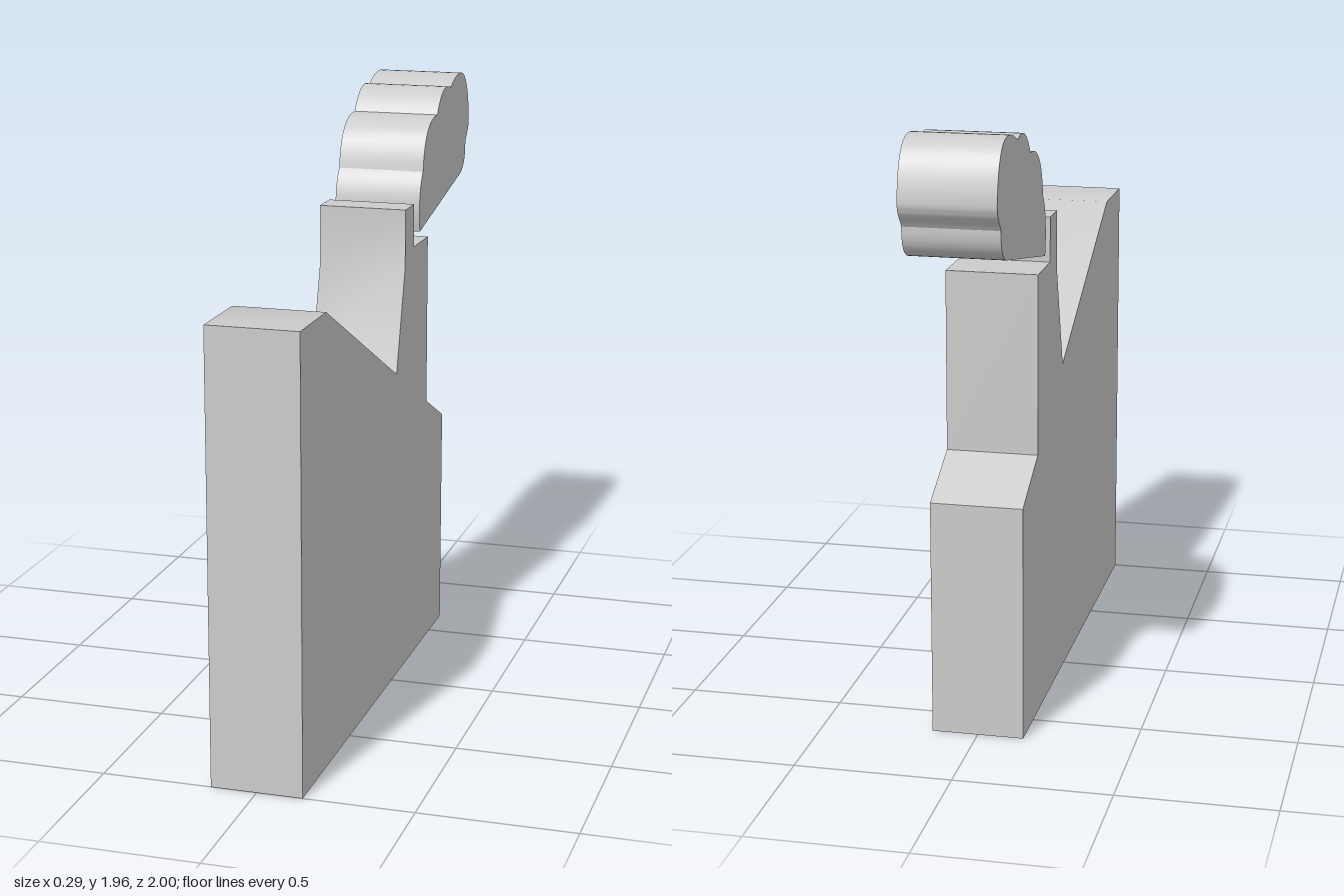
import * as THREE from 'three';
import { toCreasedNormals } from 'three/addons/utils/BufferGeometryUtils.js';

const WIDTH = 0.295;

// Extrudes a side profile (horizontal axis = -z, vertical axis = y) across x
function slab(name, shape) {
  const geometry = new THREE.ExtrudeGeometry(shape, { depth: WIDTH, bevelEnabled: false, curveSegments: 10 });
  geometry.translate(0, 0, -WIDTH / 2);
  geometry.rotateY(Math.PI / 2);
  const mesh = new THREE.Mesh(toCreasedNormals(geometry, 0.5), new THREE.MeshStandardMaterial({ color: 0xcccccc }));
  mesh.name = name;
  return mesh;
}

export function createModel() {
  const group = new THREE.Group();
  group.name = 'factoryWithSmoke';

  // Building: sloped roof, chimney and stepped rear wall
  const building = new THREE.Shape([
    [-1, 0], [0.653, 0], [0.657, 0.765], [0.435, 0.872], [0.435, 1.455],
    [0.252, 1.455], [0.252, 1.6], [0.143, 1.6], [0.143, 1.405],
    [0.043, 1.067], [-0.745, 1.455], [-1, 1.455],
  ].map(([s, y]) => new THREE.Vector2(s, y)));
  group.add(slab('building', building));

  // Smoke cloud: straight underside, then rounded lobes
  const smoke = new THREE.Shape();
  smoke.moveTo(0.33, 1.492);
  smoke.lineTo(0.88, 1.598);
  smoke.bezierCurveTo(0.93, 1.61, 0.955, 1.645, 0.953, 1.7);
  smoke.bezierCurveTo(0.97, 1.73, 1.0, 1.74, 1.0, 1.78);
  smoke.bezierCurveTo(0.99, 1.9, 0.94, 1.962, 0.86, 1.959);
  smoke.bezierCurveTo(0.81, 1.959, 0.77, 1.945, 0.732, 1.926);
  smoke.bezierCurveTo(0.66, 1.95, 0.6, 1.93, 0.55, 1.856);
  smoke.bezierCurveTo(0.45, 1.86, 0.38, 1.81, 0.365, 1.69);
  smoke.bezierCurveTo(0.325, 1.65, 0.31, 1.57, 0.33, 1.492);
  group.add(slab('smokeCloud', smoke));

  return group;
}
